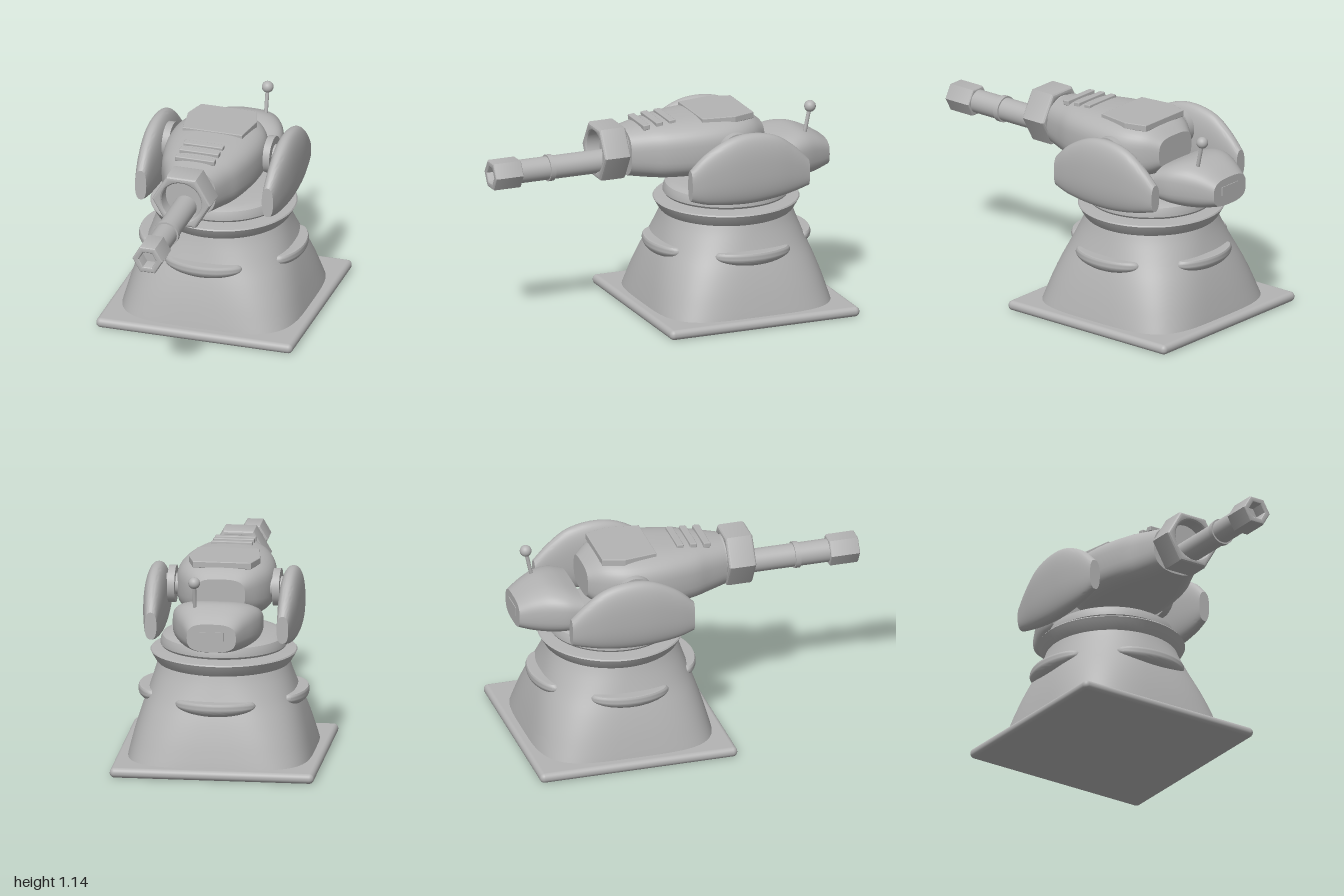
import * as THREE from 'three';
import { toCreasedNormals } from 'three/addons/utils/BufferGeometryUtils.js';
import { RoundedBoxGeometry } from 'three/addons/geometries/RoundedBoxGeometry.js';

const CENTRE_Z = -0.427;

// Skin over superellipse sections; station = [z, cx, cy, halfW, halfH, exponent], z descending
function loft(stations, steps = 24, sides = 48) {
  const curves = stations[0].map((_, k) =>
    new THREE.SplineCurve(stations.map((s, i) => new THREE.Vector2(i, s[k]))));
  const pos = [], idx = [];
  for (let i = 0; i <= steps; i++) {
    const [z, cx, cy, w, h, e] = curves.map(c => c.getPoint(i / steps).y);
    for (let j = 0; j < sides; j++) {
      const a = (j / sides) * Math.PI * 2, c = Math.cos(a), s = Math.sin(a);
      pos.push(cx + w * Math.sign(c) * Math.abs(c) ** (2 / e),
        cy + h * Math.sign(s) * Math.abs(s) ** (2 / e), z);
    }
  }
  for (let i = 0; i < steps; i++) for (let j = 0; j < sides; j++) {
    const k = (j + 1) % sides, a = i * sides + j, b = i * sides + k;
    idx.push(a, a + sides, b, b, a + sides, b + sides);
  }
  // flat end caps
  const first = stations[0], last = stations[stations.length - 1];
  const front = pos.length / 3, back = front + 1, off = steps * sides;
  pos.push(first[1], first[2], first[0], last[1], last[2], last[0]);
  for (let j = 0; j < sides; j++) {
    const k = (j + 1) % sides;
    idx.push(front, j, k, back, off + k, off + j);
  }
  const g = new THREE.BufferGeometry();
  g.setAttribute('position', new THREE.Float32BufferAttribute(pos, 3));
  g.setIndex(idx);
  return toCreasedNormals(g, 0.6);
}

// Section given by its lower and upper height
const section = (z, cx, w, y0, y1, e) => [z, cx, (y0 + y1) / 2, w, (y1 - y0) / 2, e];

function polygon(r, n) {
  return Array.from({ length: n }, (_, i) => {
    const a = (i / n) * Math.PI * 2;
    return new THREE.Vector2(r * Math.cos(a), r * Math.sin(a));
  });
}

// Bevelled hexagonal nut with a bore, lying along z
function nut(r, bore, boreSides, depth, bevel) {
  const shape = new THREE.Shape(polygon(r - bevel, 6));
  shape.holes.push(new THREE.Path(polygon(bore + bevel, boreSides).reverse()));
  const g = new THREE.ExtrudeGeometry(shape, {
    depth: depth - 2 * bevel, bevelEnabled: true, bevelThickness: bevel, bevelSize: bevel, bevelSegments: 3,
  });
  return toCreasedNormals(g.translate(0, 0, bevel), 0.5);
}

const lathe = (points) => toCreasedNormals(
  new THREE.LatheGeometry(points.map(p => new THREE.Vector2(...p)), 64), 0.6);

export function createModel() {
  const model = new THREE.Group();
  const grey = new THREE.MeshStandardMaterial({ color: 0xb4b4b4 });
  grey.name = 'grey';

  const add = (name, geo, x = 0, y = 0, z = 0, parent = model) => {
    const m = new THREE.Mesh(geo, grey);
    m.name = name;
    m.position.set(x, y, z);
    parent.add(m);
    return m;
  };
  const rod = (name, r, z0, z1, y) =>
    add(name, new THREE.CylinderGeometry(r, r, z1 - z0, 40).rotateX(Math.PI / 2), 0, y, (z0 + z1) / 2);

  // Ground plate and pedestal: square at the foot, round at the top
  add('basePlate', new RoundedBoxGeometry(1.146, 0.056, 1.146, 5, 0.027), 0, 0.028, CENTRE_Z);
  const skirt = [[0.56, 0.366, 2], [0.5, 0.383, 2.15], [0.4, 0.415, 2.5], [0.3, 0.45, 2.9],
    [0.2, 0.48, 3.3], [0.1, 0.505, 3.7], [0.04, 0.518, 4]];
  add('pedestal', loft(skirt.map(([y, r, e]) => [y, 0, 0, r, r, e]), 24, 96).rotateX(-Math.PI / 2), 0, 0, CENTRE_Z);

  // Lip on each side of the pedestal: rounded below, flat on top
  const lip = new THREE.SphereGeometry(1, 40, 24);
  const p = lip.attributes.position;
  for (let i = 0; i < p.count; i++) {
    const x = p.getX(i);
    p.setXYZ(i, x * 0.225, Math.min(p.getY(i) * 0.06, 0.024), p.getZ(i) * 0.07 - 0.03 * x * x);
  }
  const lipGeo = toCreasedNormals(lip, 0.6);
  for (let i = 0; i < 4; i++) {
    const side = new THREE.Group();
    side.name = 'pedestalLip';
    side.position.z = CENTRE_Z;
    side.rotation.y = i * Math.PI / 2;
    add('lip', lipGeo, 0, 0.391, 0.408, side);
    model.add(side);
  }

  // Flared collar and turntable
  add('pedestalCollar', lathe([[0, 0.545], [0.366, 0.55], [0.378, 0.562], [0.403, 0.605], [0.41, 0.617],
    [0.405, 0.624], [0.38, 0.626], [0.3, 0.63], [0, 0.63]]), 0, 0, CENTRE_Z);
  add('turntable', lathe([[0, 0.643], [0.345, 0.643], [0.354, 0.655], [0.352, 0.68], [0.342, 0.705],
    [0.32, 0.718], [0.29, 0.724], [0.2, 0.732], [0, 0.735]]), 0, 0, CENTRE_Z);

  // Gun housing
  add('housing', loft([
    section(0.205, 0, 0.15, 0.825, 1.095, 2.6),
    section(0.1, 0, 0.19, 0.81, 1.11, 2.8),
    section(0, 0, 0.23, 0.802, 1.12, 3),
    section(-0.15, 0, 0.264, 0.8, 1.13, 3.1),
    section(-0.3, 0, 0.277, 0.8, 1.134, 3.1),
    section(-0.42, 0, 0.262, 0.805, 1.13, 3.1),
    section(-0.52, 0, 0.212, 0.83, 1.11, 3.1),
    section(-0.6, 0, 0.14, 0.88, 1.06, 3.2)], 32));

  // Raised hatch and vent slats on the roof
  const hatch = new THREE.Shape([[-0.16, 0.52], [0.16, 0.52], [0.197, 0.4], [0.17, 0.215], [-0.17, 0.215], [-0.197, 0.4]]
    .map(q => new THREE.Vector2(...q)));
  add('roofHatch', new THREE.ExtrudeGeometry(hatch, { depth: 0.03, bevelEnabled: true, bevelSize: 0.004,
    bevelThickness: 0.004, bevelSegments: 2 }).rotateX(-Math.PI / 2), 0, 1.106, 0);
  for (const [z, y] of [[-0.055, 1.122], [0.022, 1.118], [0.1, 1.111]]) {
    add('ventSlat', new RoundedBoxGeometry(0.23, 0.03, 0.04, 2, 0.005), 0, y, z).rotation.x = 0.08;
  }

  // Barrel with its hexagonal collar and muzzle
  add('barrelCollar', nut(0.169, 0.115, 40, 0.16, 0.018), 0, 0.973, 0.215);
  rod('collarFloor', 0.12, 0.19, 0.29, 0.973);
  rod('barrel', 0.066, 0.1, 0.92, 0.912);
  rod('barrelRing', 0.075, 0.63, 0.66, 0.912);
  add('muzzle', nut(0.087, 0.052, 6, 0.17, 0.01), 0, 0.912, 0.83);

  // Rear pod with slot plate
  add('rearPod', loft([
    section(-0.65, 0, 0.25, 0.735, 0.94, 3.6),
    section(-0.74, 0, 0.249, 0.72, 0.972, 3.3),
    section(-0.83, 0, 0.222, 0.713, 0.98, 3),
    section(-0.92, 0, 0.178, 0.724, 0.95, 3),
    section(-0.996, 0, 0.138, 0.745, 0.905, 3)]));
  add('rearSlot', new THREE.BoxGeometry(0.14, 0.05, 0.008), 0, 0.835, -0.996);

  // Antenna
  const foot = new THREE.Vector3(0.11, 0.95, -0.853), tip = new THREE.Vector3(0.11, 1.112, -0.888);
  add('antennaStem', new THREE.TubeGeometry(new THREE.LineCurve3(foot, tip), 1, 0.011, 16));
  add('antennaBall', new THREE.SphereGeometry(0.033, 28, 20), tip.x, tip.y, tip.z);

  // Side shields on round pivots
  for (const s of [1, -1]) {
    add('sideShield', loft([
      section(-0.055, s * 0.37, 0.033, 0.735, 0.912, 2.5),
      section(-0.15, s * 0.375, 0.047, 0.707, 1.0, 2.4),
      section(-0.29, s * 0.378, 0.06, 0.69, 1.073, 2.4),
      section(-0.43, s * 0.378, 0.063, 0.686, 1.09, 2.4),
      section(-0.57, s * 0.378, 0.057, 0.7, 1.06, 2.4),
      section(-0.68, s * 0.375, 0.045, 0.722, 0.985, 2.4),
      section(-0.765, s * 0.37, 0.033, 0.745, 0.9, 2.5)], 32));
    const disc = (name, r, w, x) =>
      add(name, new THREE.CylinderGeometry(r, r, w, 40).rotateZ(Math.PI / 2), s * x, 0.967, -0.37);
    disc('pivot', 0.105, 0.04, 0.294);
    disc('pivotAxle', 0.06, 0.14, 0.3);
  }
  return model;
}
